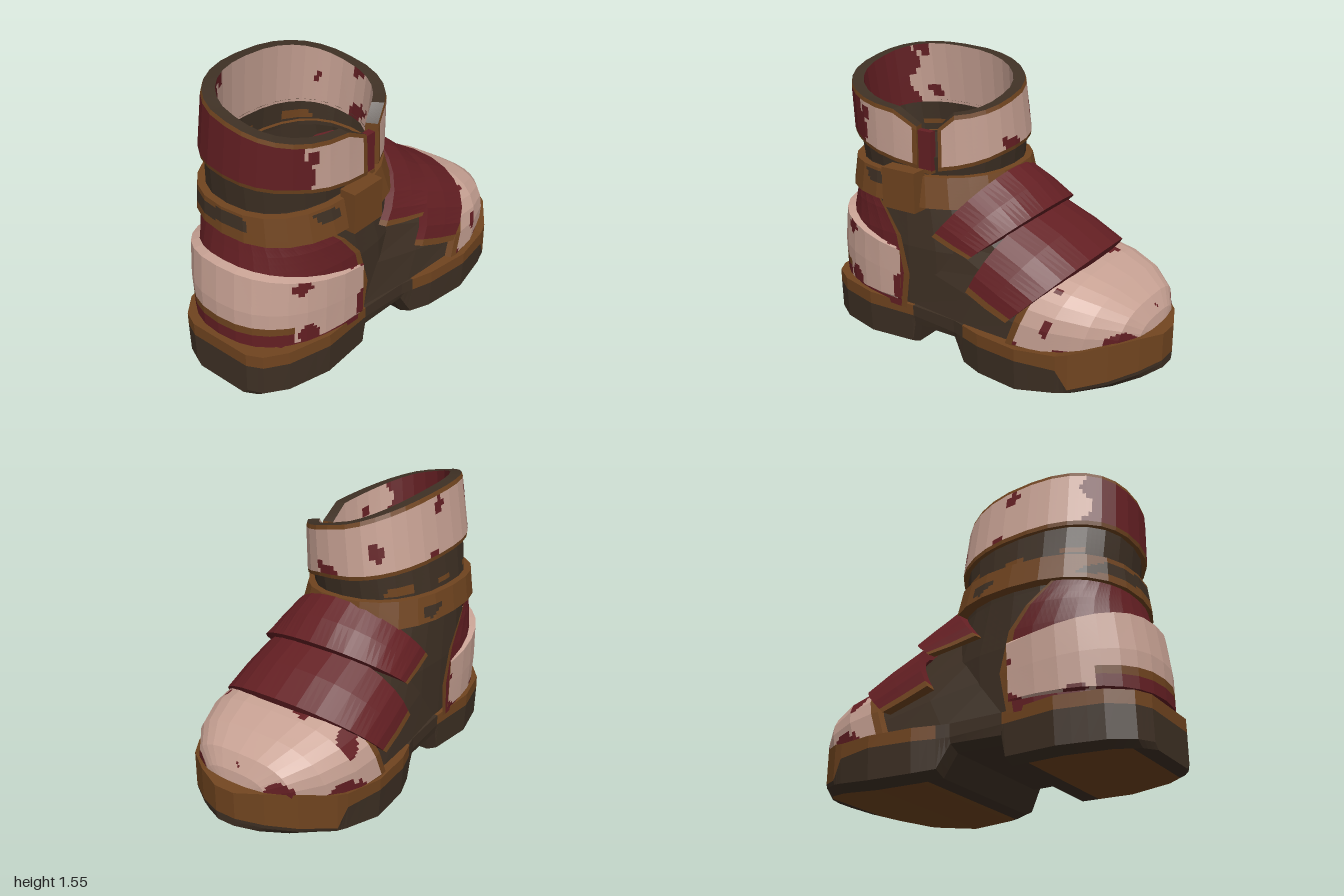
import * as THREE from 'three';

const COLORS = { pale: 0xc8a294, red: 0x641f23, dark: 0x3e3024, brown: 0x70441f };
const { PI, sin, cos, abs, sign, max, min } = Math;
const mix = (a, b, k) => a + (b - a) * k;

export function createModel() {
  const boot = new THREE.Group();
  boot.name = 'boot';
  const mats = {};
  for (const [name, color] of Object.entries(COLORS)) {
    mats[name] = new THREE.MeshStandardMaterial({ color, side: THREE.DoubleSide });
    mats[name].name = name;
  }

  // Faceted sheet through row curves. Each coarse facet is cut into nu x nv cells,
  // and paint(seg, v, point) picks the colour of each cell. caps closes both row ends.
  function sheet(name, rows, vSegs, nu, nv, paint, caps) {
    const knots = rows.map(r => Array.from({ length: vSegs + 1 }, (_, j) => r(j / vSegs)));
    const tris = {};
    const add = (c, ...pts) => (tris[c] ??= []).push(...pts.flatMap(p => [p.x, p.y, p.z]));
    const L = (a, b, k) => new THREE.Vector3().lerpVectors(a, b, k);
    for (let i = 0; i < rows.length - 1; i++) for (let j = 0; j < vSegs; j++) {
      const at = (a, b) => L(L(knots[i][j], knots[i][j + 1], b / nv), L(knots[i + 1][j], knots[i + 1][j + 1], b / nv), a / nu);
      for (let a = 0; a < nu; a++) for (let b = 0; b < nv; b++) {
        const c = paint(i, (j + (b + 0.5) / nv) / vSegs, at(a + 0.5, b + 0.5));
        const p = at(a, b), q = at(a + 1, b), r = at(a + 1, b + 1), s = at(a, b + 1);
        add(c, p, q, r, p, r, s);
      }
    }
    if (caps) for (const j of [0, vSegs])
      for (let i = 1; i < rows.length - 1; i++) add(caps, knots[0][j], knots[i][j], knots[i + 1][j]);
    // one geometry with a group per colour
    const names = Object.keys(tris), geo = new THREE.BufferGeometry();
    let start = 0;
    names.forEach((n, k) => { geo.addGroup(start, tris[n].length / 3, k); start += tris[n].length / 3; });
    geo.setAttribute('position', new THREE.Float32BufferAttribute(names.flatMap(n => tris[n]), 3));
    geo.computeVertexNormals();
    const mesh = new THREE.Mesh(geo, names.map(n => mats[n]));
    mesh.name = name;
    boot.add(mesh);
  }

  // Smooth wear noise, roughly -1 to 1
  const wear = p => (sin(19 * p.x + 5 * p.y + 1) + sin(23 * p.z + 9 * p.x) + sin(27 * p.y - 11 * p.z + 2)) / 3;

  // Ankle surface: [y, xMin, xMax, zMin, zMax]
  const ANKLE = [
    [0.2, -0.95, 0.22, -0.40, 0.38], [0.6, -0.92, 0.2, -0.41, 0.38], [0.87, -0.86, 0.08, -0.40, 0.35],
    [1.0, -0.85, 0.04, -0.38, 0.32], [1.2, -0.85, 0.04, -0.335, 0.305], [1.6, -0.84, 0.02, -0.27, 0.34]];
  function ankle(t, y, off = 0) {
    let i = 0;
    while (i < ANKLE.length - 2 && y > ANKLE[i + 1][0]) i++;
    const A = ANKLE[i], B = ANKLE[i + 1], k = (y - A[0]) / (B[0] - A[0]);
    const [, x0, x1, z0, z1] = A.map((a, n) => mix(a, B[n], k));
    const pw = c => sign(c) * abs(c) ** 0.85;
    return new THREE.Vector3((x0 + x1) / 2 + ((x1 - x0) / 2 + off) * pw(cos(t)), y,
      (z0 + z1) / 2 + ((z1 - z0) / 2 + off) * pw(sin(t)));
  }
  const ring = (yFn, off) => v => ankle(v * 2 * PI, yFn(v * 2 * PI), off);

  // Arch over the foot: top point, side point, half width and roundness
  const arch = ([tx, ty, bx, by, w], p) => v => {
    const s = max(0, sin(PI * v)) ** p, c = cos(PI * v);
    return new THREE.Vector3(mix(bx, tx, s), mix(by, ty, s), -0.01 + w * sign(c) * abs(c) ** p);
  };

  // Sole: [x, zMin, zMax, bottom, band, top]
  const SOLE = [
    [-1, 0, 0, 0.01, 0.2, 0.27], [-1, -0.19, 0.18, 0.01, 0.2, 0.27], [-0.96, -0.28, 0.26, 0.005, 0.2, 0.27],
    [-0.85, -0.37, 0.335, 0, 0.2, 0.27], [-0.62, -0.43, 0.4, 0, 0.2, 0.27], [-0.34, -0.41, 0.39, 0.01, 0.2, 0.26],
    [-0.32, -0.41, 0.39, 0.12, 0.2, 0.26], [-0.04, -0.43, 0.41, 0.13, 0.19, 0.26], [0.03, -0.45, 0.43, 0.01, 0.19, 0.26],
    [0.15, -0.49, 0.47, 0, 0.19, 0.26], [0.4, -0.515, 0.51, 0.005, 0.2, 0.265], [0.62, -0.47, 0.48, 0.04, 0.2, 0.28],
    [0.68, -0.45, 0.46, 0.05, 0.1, 0.295], [0.84, -0.33, 0.34, 0.09, 0.14, 0.335], [0.94, -0.2, 0.2, 0.115, 0.165, 0.345],
    [1, -0.06, 0.06, 0.135, 0.18, 0.33], [1, 0, 0, 0.135, 0.18, 0.33]];
  const soleRow = ([x, z0, z1, bot, band, top]) => v => {
    const k = Math.round(v * 9), e = min(k, 9 - k);
    const ledge = x > 0.9 || x < -0.9 ? 0 : 0.84; // the ledge closes at both tips
    const z = mix((z0 + z1) / 2, k < 5 ? z0 : z1, [ledge, 1, 1, 0.98, 0.83][e]);
    return new THREE.Vector3(x, [top, top, band, bot + 0.03, bot][e], z);
  };
  sheet('sole', SOLE.map(soleRow), 9, 3, 1, (i, v, p) => {
    const k = Math.floor(v * 9), e = min(k, 8 - k);
    const arched = p.x > -0.33 && p.x < 0.04;
    if (e < 2) return arched ? 'dark' : 'brown';
    const panel = (p.x > -0.93 && p.x < -0.39) || (p.x > 0.1 && p.x < 0.92);
    return e === 4 && panel ? 'brown' : 'dark';
  });

  // Dark leather ankle, turned in under the cuff, with brown scuffs behind, and instep
  const flat = y => () => y;
  const cuffLo = t => 1.15 - 0.055 * sin(t) - 0.02 * cos(t);
  const neckTop = t => cuffLo(t) + 0.015;
  sheet('ankle', [
    ring(flat(0.22), -0.01), ring(flat(0.6), -0.01), ring(flat(0.87), -0.01), ring(flat(1), 0.01),
    ring(neckTop, 0.03), ring(neckTop, -0.03)], 24, 8, 4, (i, v, p) =>
    (i === 3 && p.z < -0.15 && abs(p.y - 1.075) < 0.02 && sin(21 * p.x + 9 * p.y) > 0.3 ? 'brown' : 'dark'));
  sheet('instep', [
    [0.02, 0.99, -0.4, 0.24, 0.37], [0.28, 0.78, 0, 0.24, 0.425], [0.52, 0.6, 0.3, 0.24, 0.45],
    [0.72, 0.53, 0.58, 0.24, 0.42], [0.88, 0.4, 0.82, 0.26, 0.26]].map(r => arch(r, 0.85)), 12, 1, 1, () => 'dark');

  // Two overlapping instep straps with brown lower ends
  const strapPaint = (i, v) => (v < 0.035 || v > 0.965 ? 'brown' : 'red');
  sheet('lowerStrap', [
    [0.24, 0.78, 0.06, 0.46, 0.42], [0.26, 0.84, 0.07, 0.47, 0.465], [0.44, 0.76, 0.2, 0.42, 0.48],
    [0.61, 0.66, 0.33, 0.38, 0.49], [0.58, 0.59, 0.32, 0.38, 0.44]].map(r => arch(r, 0.88)), 14, 1, 3, strapPaint, 'brown');
  sheet('upperStrap', [
    [0.04, 0.98, -0.19, 0.70, 0.37], [0.09, 1.03, -0.18, 0.70, 0.41], [0.21, 0.955, -0.05, 0.67, 0.43],
    [0.32, 0.86, 0.08, 0.65, 0.45], [0.28, 0.80, 0.07, 0.65, 0.41]].map(r => arch(r, 1)), 14, 1, 3, strapPaint, 'brown');

  // Pale toe cap with worn red patches near its rim
  sheet('toeCap', [
    [0.44, 0.6, 0.31, 0.25, 0.45], [0.46, 0.645, 0.32, 0.25, 0.485], [0.5, 0.635, 0.36, 0.25, 0.49],
    [0.64, 0.605, 0.52, 0.25, 0.475], [0.78, 0.555, 0.71, 0.26, 0.41], [0.89, 0.48, 0.85, 0.28, 0.3],
    [0.935, 0.4, 0.92, 0.29, 0.19], [0.95, 0.32, 0.945, 0.3, 0.08]].map(r => arch(r, 0.66)), 14, 7, 7, (i, v, p) => {
    if (i < 2 || p.y < 0.275) return 'brown';
    const rise = p.y - 0.265 - 0.13 * max(0, p.x - 0.4);
    const edge = max(0, 0.13 - rise) * 7 * min(1, abs(p.z) / 0.25) + (i === 2 ? 0.35 : 0);
    return wear(p) + edge > 1 ? 'red' : 'pale';
  });

  // Red heel counter with brown trim: [y, start angle, offset]
  const heelRow = ([y, tA, off]) => v => ankle(mix(tA, 2 * PI - tA, v), y, off);
  sheet('heelCounter', [
    [0.24, 1.57, 0.02], [0.45, 1.54, 0.025], [0.66, 1.59, 0.025], [0.78, 1.72, 0.025], [0.89, 1.97, 0.025], [0.89, 1.97, -0.01]]
    .map(heelRow), 16, 3, 4, (i, v, p) =>
    (v < 0.02 || v > 0.98 || p.y > 0.875 || p.y < 0.275 ? 'brown' : 'red'));

  // Pale heel cap, higher at the back and closer to the ankle at its ends
  const capRow = (yFn, off) => v => {
    const t = mix(1.59, 2 * PI - 1.59, v), back = max(0, -cos(t));
    return ankle(t, yFn(0.58 + 0.12 * back), mix(0.038, off, back ** 0.7));
  };
  sheet('heelCap', [
    capRow(() => 0.29, 0.02), capRow(() => 0.3, 0.05), capRow(y => (y + 0.3) / 2, 0.065),
    capRow(y => y, 0.07), capRow(y => y + 0.01, 0.02)], 16, 9, 6, (i, v, p) => {
    if (p.x < -0.8 && p.y < 0.41) return p.y < 0.36 ? 'red' : 'brown';
    const edge = max(0, 0.39 - p.y) * 6 + max(0, 0.05 - min(v, 1 - v)) * 15 + (p.y > 0.6 ? 0.35 : 0);
    return wear(p) + edge > 0.9 ? 'red' : 'pale';
  }, 'brown');

  // Belt with dark worn spots, and its buckle
  const beltLo = t => 0.868 - 0.025 * sin(t) + 0.01 * cos(t);
  const beltHi = t => 1.015 - 0.015 * sin(t) + 0.015 * cos(t);
  sheet('belt', [ring(beltLo, -0.01), ring(beltLo, 0.05), ring(beltHi, 0.05), ring(beltHi, -0.01)], 24, 10, 6, (i, v, p) => {
    const worn = i === 1 && abs(p.y - 0.945) < 0.035 && (p.z < 0 || p.x < -0.45);
    return worn && sin(13 * p.x + 6 * p.z + 1) + 0.5 * sin(31 * p.y + 17 * p.x) > 0.75 ? 'dark' : 'brown';
  });
  function box(name, w, h, d, x, y, z, color) {
    const m = new THREE.Mesh(new THREE.BoxGeometry(w, h, d), mats[color]);
    m.name = name;
    m.position.set(x, y, z);
    boot.add(m);
  }
  box('buckle', 0.21, 0.22, 0.09, -0.365, 0.93, 0.388, 'brown');

  // Tilted cuff, open at a notch on the +z side and dipping below it
  const NOTCH = 1.27, GAP = 0.12;
  const cuffRow = (k, off, shift = 0) => v => {
    const t = NOTCH + mix(GAP, 2 * PI - GAP, v), d = min(v, 1 - v);
    const lo = cuffLo(t) - 0.05 * max(0, 1 - d / 0.14);
    const hi = 1.445 - 0.105 * sin(t) - 0.03 * cos(t) - 0.07 * max(0, 1 - d / 0.03);
    return ankle(t, mix(lo, hi, k) + shift, off);
  };
  sheet('cuff', [
    cuffRow(0, -0.03), cuffRow(0, 0.05), cuffRow(0, 0.055, 0.022), cuffRow(1, 0.055, -0.022),
    cuffRow(1, 0.05), cuffRow(1, -0.01), cuffRow(0, -0.03)], 28, 10, 5, (i, v, p) => {
    if (i === 4) return 'dark';
    if (i !== 2 && i !== 5) return 'brown';
    if (i === 2 && (v < 0.007 || v > 0.993)) return 'brown';
    const redEnd = i === 5 ? -0.73 : p.z > 0 ? -0.66 : -0.76;
    if (p.x + 0.03 * sin(25 * p.y) < redEnd) return 'red';
    const edge = abs(sin(7 * p.x + 2)) * 0.2 + (p.y < 1.2 ? 0.25 : 0);
    return wear(p) + edge > 0.95 ? 'red' : 'pale';
  }, 'brown');

  // Red tongue filling the lower part of the notch
  box('notchTongue', 0.11, 0.21, 0.04, -0.268, 1.14, 0.325, 'red');
  box('notchTongueTrim', 0.11, 0.02, 0.045, -0.268, 1.03, 0.325, 'brown');
  return boot;
}
